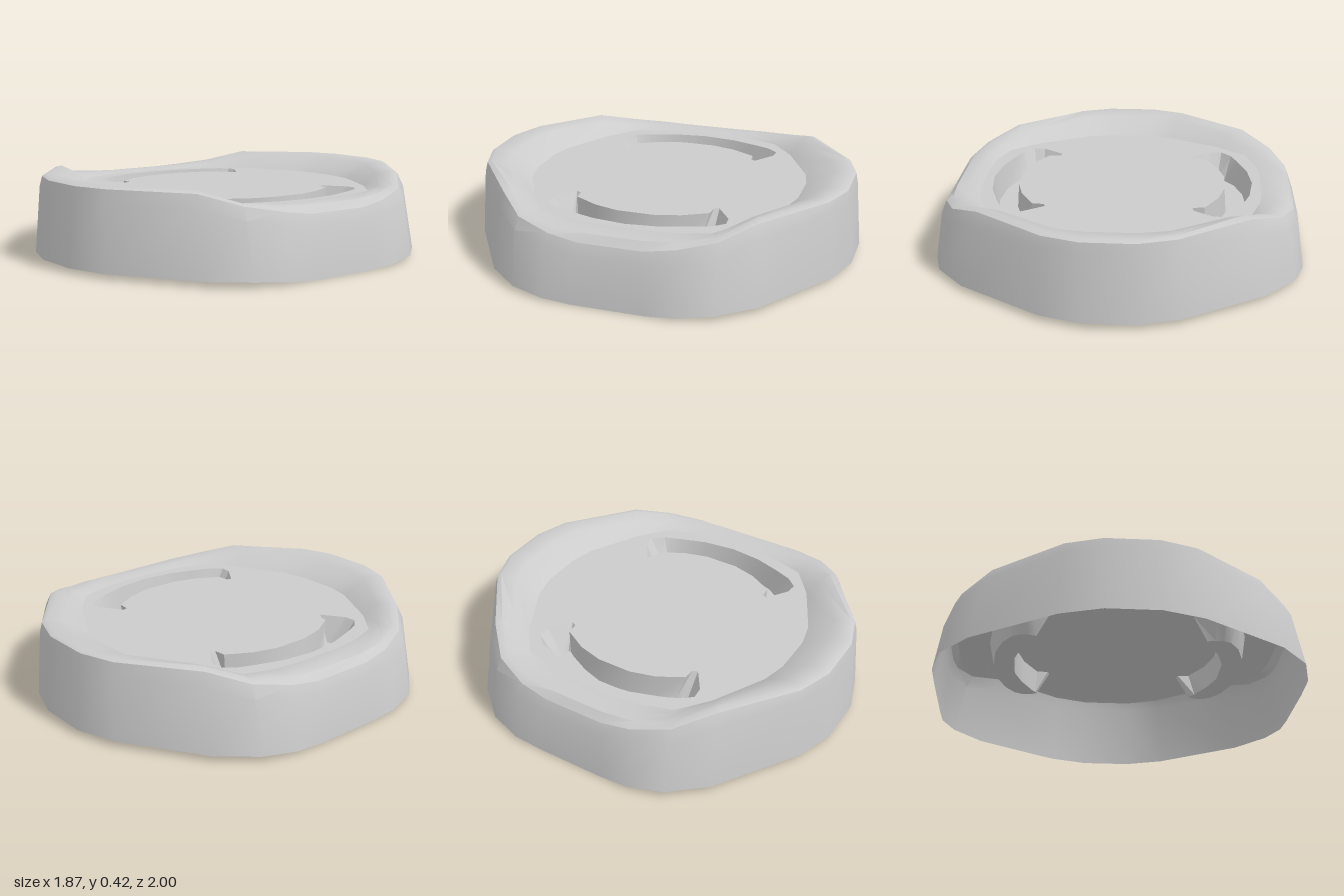
import * as THREE from 'three';
import { toCreasedNormals } from 'three/addons/utils/BufferGeometryUtils.js';

const material = new THREE.MeshStandardMaterial({ color: 0xcccccc, side: THREE.DoubleSide });
const FLOOR_Y = 0.33, GROOVE_Y = 0.2;

// Skin closed loops of [x, y, z] points, ring after ring
function loft(rings, crease) {
  const n = rings[0].length, index = [];
  for (let r = 0; r < rings.length - 1; r++) {
    for (let i = 0; i < n; i++) {
      const a = r * n + i, b = r * n + (i + 1) % n;
      index.push(a, b, b + n, a, b + n, a + n);
    }
  }
  const g = new THREE.BufferGeometry();
  g.setAttribute('position', new THREE.Float32BufferAttribute(rings.flat(2), 3));
  g.setIndex(index);
  return toCreasedNormals(g, crease);
}

// Flat upward-facing sheet bounded by a loop, with optional holes
function sheet(loop, y, holes = []) {
  const flat = (l) => l.map((p) => new THREE.Vector2(p[0], -p[2]));
  const shape = new THREE.Shape(flat(loop));
  shape.holes = holes.map((h) => new THREE.Path(flat(h)));
  return new THREE.ShapeGeometry(shape).rotateX(-Math.PI / 2).translate(0, y, 0);
}

// Mirror one quadrant (front to left side) into a full loop
function fourfold(q) {
  const half = [...q, ...[...q].reverse().map(([x, y, z]) => [x, y, -z])];
  return [...half, ...half.map(([x, y, z]) => [-x, y, -z])];
}

// Mirror half a groove outline across z = 0 and run it anticlockwise
function grooveLoop(half, y) {
  const back = half.slice(1).map(([x, z]) => [x, y, -z]);
  const front = half.map(([x, z]) => [x, y, z]).reverse();
  return [...front, ...back];
}

export function createModel() {
  const model = new THREE.Group();
  model.name = 'tray';
  const add = (name, geometry) => {
    const mesh = new THREE.Mesh(geometry, material);
    mesh.name = name;
    model.add(mesh);
    return mesh;
  };

  // Quadrant rings, from the bottom edge over the rim to the floor
  const rings = [
    [[0.13, 0.025, 1], [0.33, 0.025, 0.935], [0.74, 0.025, 0.67], [0.885, 0.025, 0.5], [0.935, 0.012, 0.33], [0.935, 0, 0.18]], // bottom edge
    [[0.13, 0.36, 0.97], [0.315, 0.36, 0.912], [0.68, 0.34, 0.655], [0.83, 0.29, 0.5], [0.895, 0.26, 0.32], [0.907, 0.24, 0.17]], // shoulder
    [[0.13, 0.41, 0.96], [0.31, 0.41, 0.9], [0.65, 0.405, 0.64], [0.8, 0.352, 0.49], [0.87, 0.32, 0.31], [0.883, 0.298, 0.16]], // rim edge
    [[0.13, 0.42, 0.94], [0.3, 0.42, 0.88], [0.62, 0.415, 0.62], [0.77, 0.362, 0.475], [0.835, 0.342, 0.3], [0.85, 0.335, 0.15]], // crest
    [[0.12, 0.408, 0.84], [0.27, 0.405, 0.8], [0.55, 0.392, 0.59], [0.71, 0.352, 0.45], [0.77, 0.342, 0.28], [0.785, 0.34, 0.13]], // inner lip
    [[0.11, FLOOR_Y, 0.71], [0.24, FLOOR_Y, 0.68], [0.51, FLOOR_Y, 0.54], [0.66, FLOOR_Y, 0.42], [0.71, FLOOR_Y, 0.26], [0.725, FLOOR_Y, 0.12]], // floor edge
  ].map(fourfold);
  add('outerWall', loft(rings.slice(0, 3), 0.5));
  add('rim', loft(rings.slice(2), 0.7));

  // Curved grooves sunk into the floor at both sides
  const top = grooveLoop([[0.68, 0], [0.66, 0.17], [0.615, 0.31], [0.58, 0.4], [0.53, 0.455],
    [0.47, 0.45], [0.36, 0.375], [0.37, 0.35], [0.43, 0.345], [0.5, 0.22], [0.535, 0.09], [0.54, 0]].slice(0, 11), FLOOR_Y);
  const bottom = grooveLoop([[0.655, 0], [0.64, 0.16], [0.6, 0.28], [0.55, 0.35], [0.51, 0.37],
    [0.47, 0.37], [0.43, 0.36], [0.435, 0.34], [0.455, 0.31], [0.51, 0.2], [0.545, 0.09]], GROOVE_Y);
  const opposite = top.map(([x, y, z]) => [-x, y, -z]);

  add('floor', sheet(rings[5], FLOOR_Y, [top, opposite]));
  const walls = loft([top, bottom], 0.4), base = sheet(bottom, GROOVE_Y);
  for (const [side, turn] of [['left', 0], ['right', Math.PI]]) {
    add(side + 'GrooveWalls', walls).rotation.y = turn;
    add(side + 'GrooveBase', base).rotation.y = turn;
  }
  return model;
}
